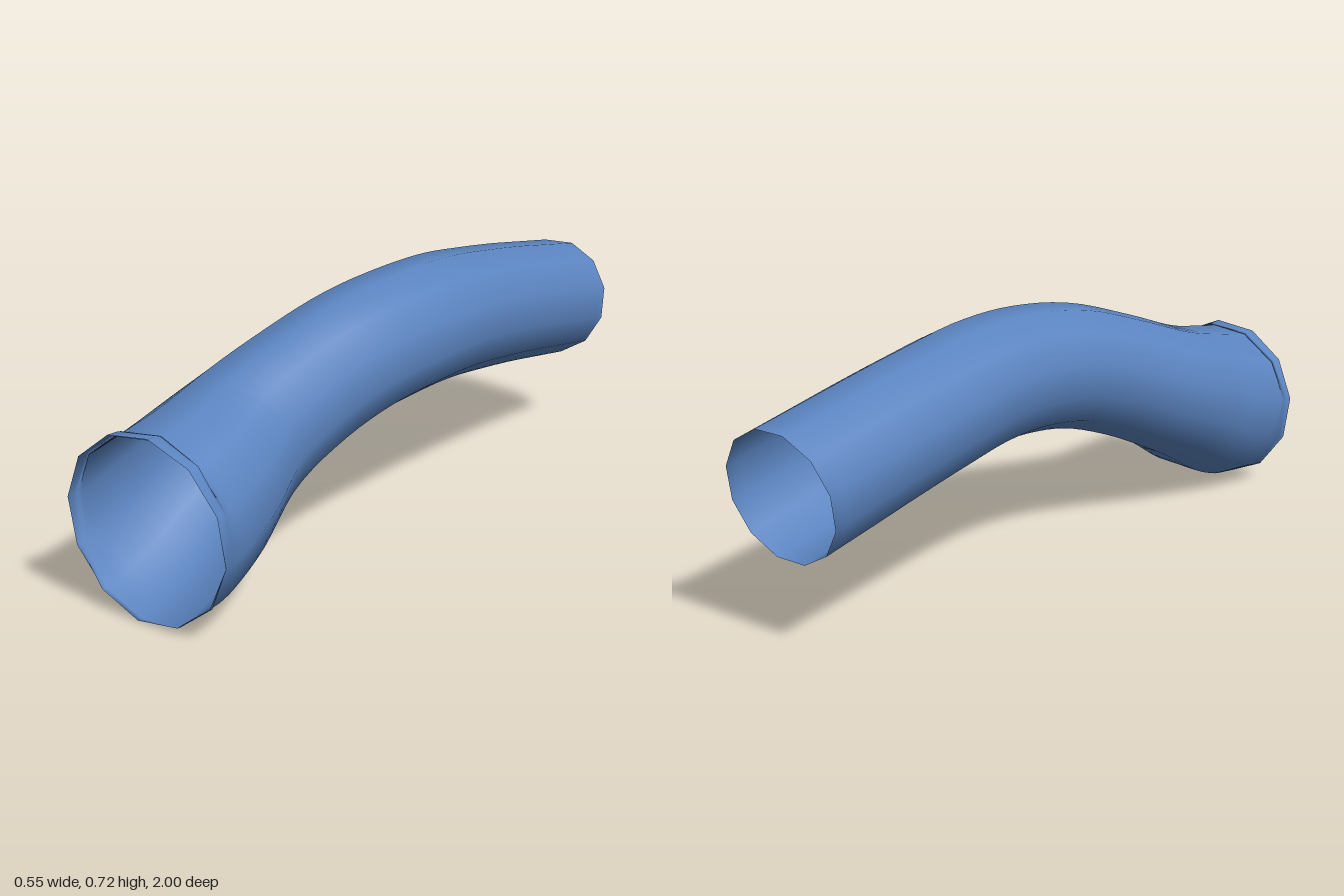
import * as THREE from 'three';

const SIDES = 12;
const RINGS = 48;

// Centre line from the flared front mouth to the back end: x, y, z, radius
const STATIONS = [
  [-0.025, 0.257, 0.988, 0.257],
  [-0.024, 0.260, 0.93, 0.248],
  [-0.027, 0.298, 0.80, 0.234],
  [-0.034, 0.374, 0.60, 0.202],
  [0.003, 0.455, 0.40, 0.189],
  [0.049, 0.518, 0.20, 0.187],
  [0.079, 0.541, 0.00, 0.187],
  [0.087, 0.538, -0.20, 0.187],
  [0.084, 0.513, -0.40, 0.187],
  [0.081, 0.483, -0.60, 0.187],
  [0.080, 0.452, -0.78, 0.187],
  [0.080, 0.420, -0.965, 0.187],
];

// Open tube lofted from rings set square to the centre line
function tubeGeometry() {
  const curve = (points) => new THREE.CatmullRomCurve3(points, false, 'catmullrom', 0.5);
  const path = curve(STATIONS.map(([x, y, z]) => new THREE.Vector3(x, y, z)));
  const radii = curve(STATIONS.map((s) => new THREE.Vector3(s[3], 0, 0)));
  const up = new THREE.Vector3(0, 1, 0);
  const positions = [];
  const index = [];

  for (let i = 0; i <= RINGS; i++) {
    const t = i / RINGS;
    const centre = path.getPoint(t);
    const radius = radii.getPoint(t).x;
    const forward = path.getTangent(t).negate();
    const across = new THREE.Vector3().crossVectors(up, forward).normalize();
    const rise = new THREE.Vector3().crossVectors(forward, across);
    const twist = THREE.MathUtils.degToRad(-8 - 6 * t);

    for (let j = 0; j < SIDES; j++) {
      const angle = twist + (j / SIDES) * Math.PI * 2;
      const p = centre.clone()
        .addScaledVector(across, radius * Math.cos(angle))
        .addScaledVector(rise, radius * Math.sin(angle));
      positions.push(p.x, p.y, p.z);

      if (i < RINGS) {
        const a = i * SIDES + j;
        const b = i * SIDES + ((j + 1) % SIDES);
        index.push(a, a + SIDES, b, b, a + SIDES, b + SIDES);
      }
    }
  }

  const geometry = new THREE.BufferGeometry();
  geometry.setAttribute('position', new THREE.Float32BufferAttribute(positions, 3));
  geometry.setIndex(index);
  geometry.computeVertexNormals();
  return geometry;
}

export function createModel() {
  const group = new THREE.Group();
  group.name = 'bentPipe';

  const blue = new THREE.MeshStandardMaterial({ color: 0x5b84c0, side: THREE.DoubleSide });
  blue.name = 'blue';

  const tube = new THREE.Mesh(tubeGeometry(), blue);
  tube.name = 'flaredTube';
  group.add(tube);
  return group;
}
